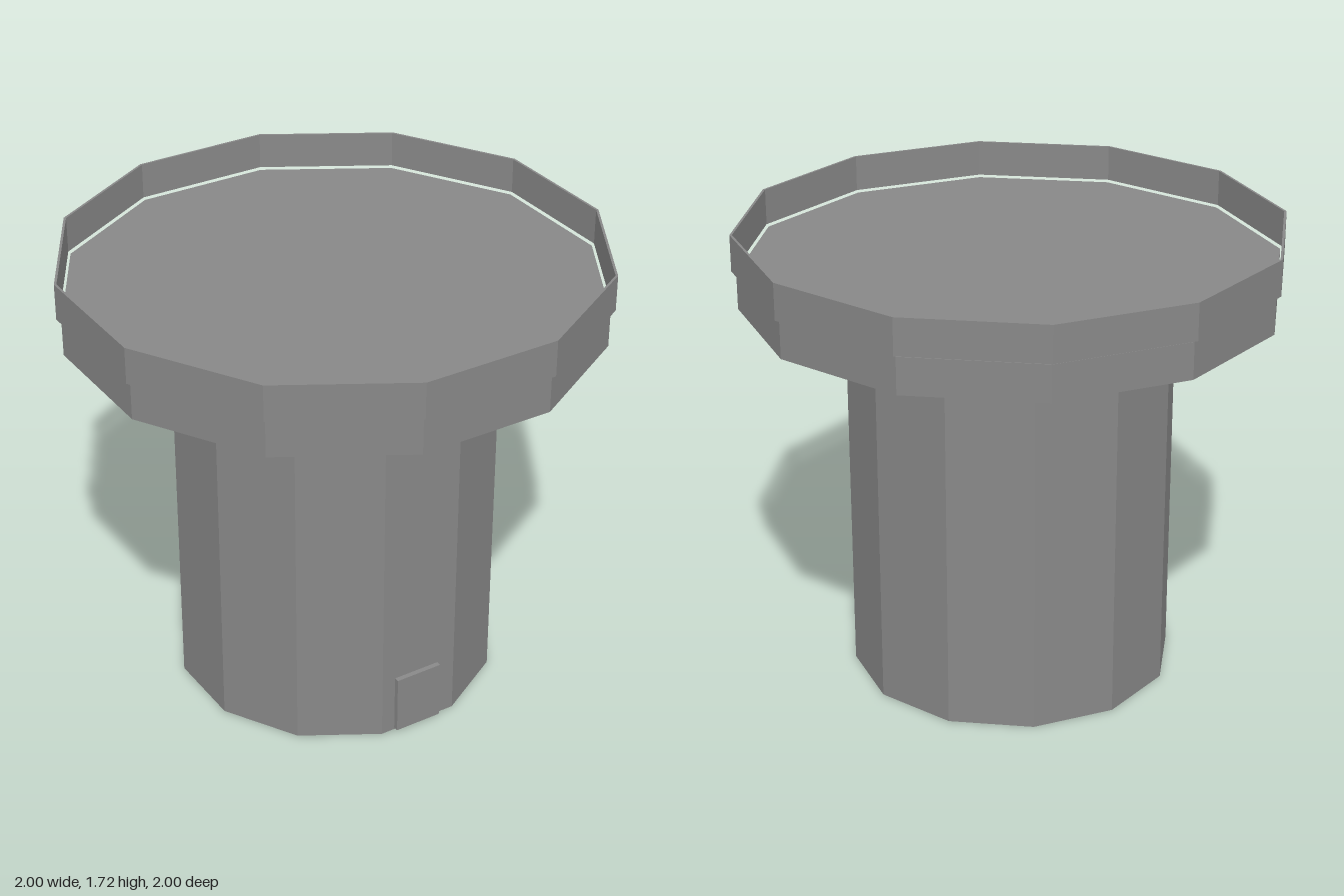
import * as THREE from 'three';

const SIDES = 12;

export function createModel() {
  const group = new THREE.Group();
  const material = new THREE.MeshStandardMaterial({ color: 0x888888, flatShading: true });

  const add = (name, geometry) => {
    const mesh = new THREE.Mesh(geometry, material);
    mesh.name = name;
    group.add(mesh);
    return mesh;
  };

  // Stacked twelve-sided drums: bottom radius, top radius, bottom and top height
  const drum = (name, rBottom, rTop, y0, y1) => {
    const mesh = add(name, new THREE.CylinderGeometry(rTop, rBottom, y1 - y0, SIDES));
    mesh.position.y = (y0 + y1) / 2;
  };
  drum('towerShaft', 0.603, 0.603, 0, 1.307);
  drum('flaredSupport', 0.603, 0.983, 1.307, 1.442);
  drum('platform', 0.983, 0.983, 1.442, 1.577);

  // Thin parapet ring floating just above the platform
  const parapet = [[1, 1.585], [1, 1.72], [0.991, 1.72], [0.991, 1.585], [1, 1.585]];
  add('parapet', new THREE.LatheGeometry(parapet.map(([r, y]) => new THREE.Vector2(r, y)), SIDES));

  // Door set into one facet of the shaft
  const door = add('door', new THREE.BoxGeometry(0.186, 0.228, 0.045));
  door.position.set(0.141, 0.121, 0.562);
  door.rotation.y = Math.PI / SIDES;

  return group;
}
